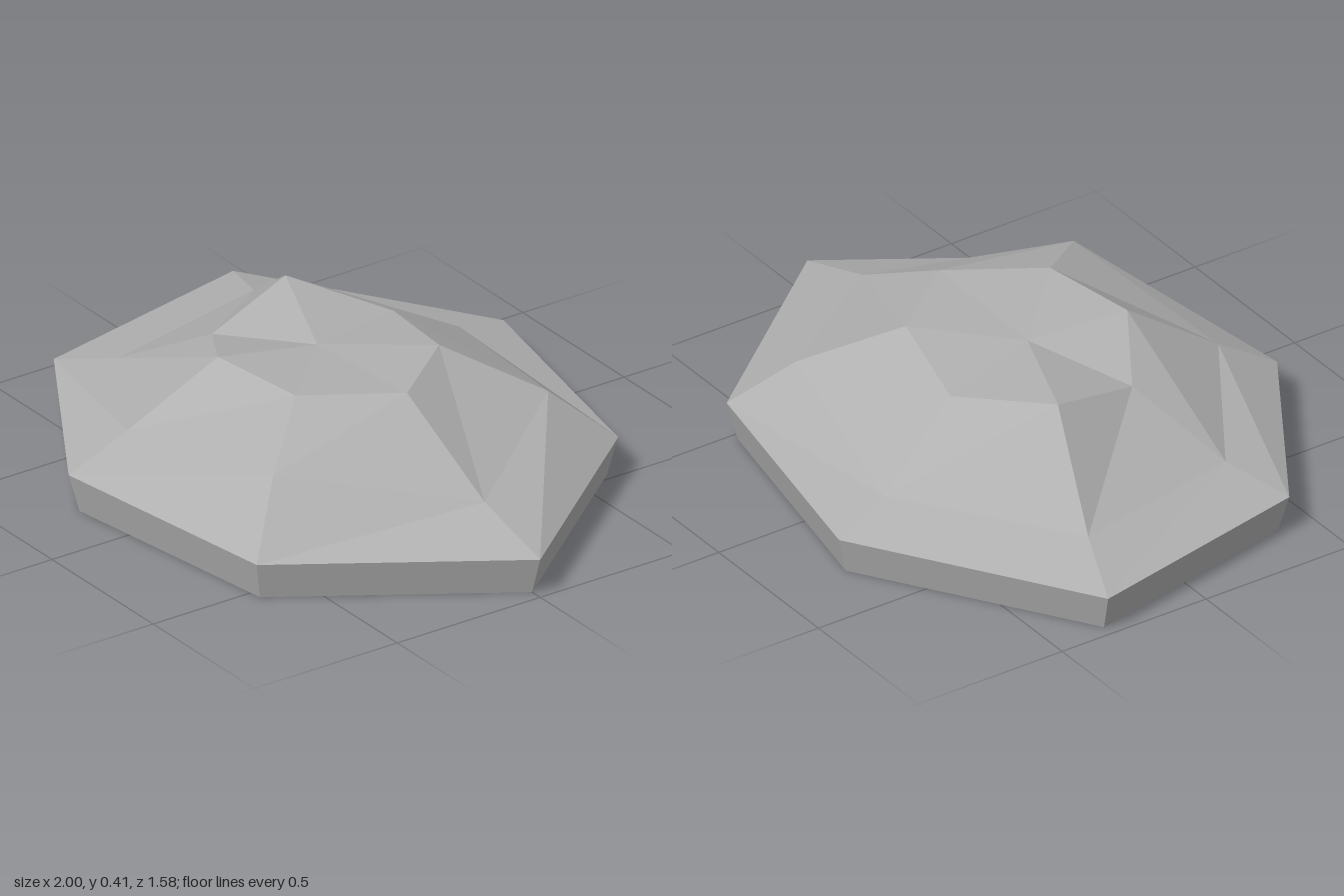
import * as THREE from 'three';

// Seven-sided cross-sections, from the ground up: [x, y, z] per corner
const rim = [
  [1, 0.12, 0], [0.56, 0.12, 0.68], [-0.215, 0.12, 0.79], [-0.84, 0.12, 0.4],
  [-1, 0.12, -0.34], [-0.3, 0.12, -0.79], [0.495, 0.12, -0.63],
];
const base = rim.map(([x, , z]) => [x * 0.96, 0, z * 0.96]);
const slope = [
  [0.74, 0.2, 0.01], [0.415, 0.3, 0.52], [-0.18, 0.225, 0.61], [-0.65, 0.175, 0.31],
  [-0.77, 0.18, -0.25], [-0.25, 0.175, -0.6], [0.375, 0.265, -0.47],
];
const crown = [
  [0.37, 0.4, 0.02], [0.2, 0.4, 0.29], [-0.12, 0.405, 0.335], [-0.37, 0.33, 0.18],
  [-0.43, 0.405, -0.12], [-0.15, 0.355, -0.3], [0.175, 0.4, -0.23],
];

// Flat-shaded mesh from a list of triangles
function facetMesh(name, triangles, material) {
  const geometry = new THREE.BufferGeometry();
  geometry.setAttribute('position', new THREE.Float32BufferAttribute(triangles.flat(2), 3));
  geometry.computeVertexNormals();
  const mesh = new THREE.Mesh(geometry, material);
  mesh.name = name;
  return mesh;
}

// Band of facets joining two rings
function band(low, high) {
  return low.flatMap((a, i) => {
    const j = (i + 1) % low.length;
    return [[a, high[i], low[j]], [low[j], high[i], high[j]]];
  });
}

// Fan closing a ring at a centre point
function cap(ring, centre, up) {
  return ring.map((a, i) => {
    const b = ring[(i + 1) % ring.length];
    return up ? [a, centre, b] : [a, b, centre];
  });
}

export function createModel() {
  const stone = new THREE.MeshStandardMaterial({ color: 0xb0b0b0, flatShading: true });
  stone.name = 'stone grey';

  const rock = new THREE.Group();
  rock.name = 'flatRock';
  rock.add(
    facetMesh('underside', cap(base, [0, 0, 0], false), stone),
    facetMesh('baseEdge', band(base, rim), stone),
    facetMesh('lowerSlope', band(rim, slope), stone),
    facetMesh('upperSlope', band(slope, crown), stone),
    facetMesh('dentedTop', cap(crown, [-0.06, 0.38, 0.03], true), stone),
  );
  return rock;
}
